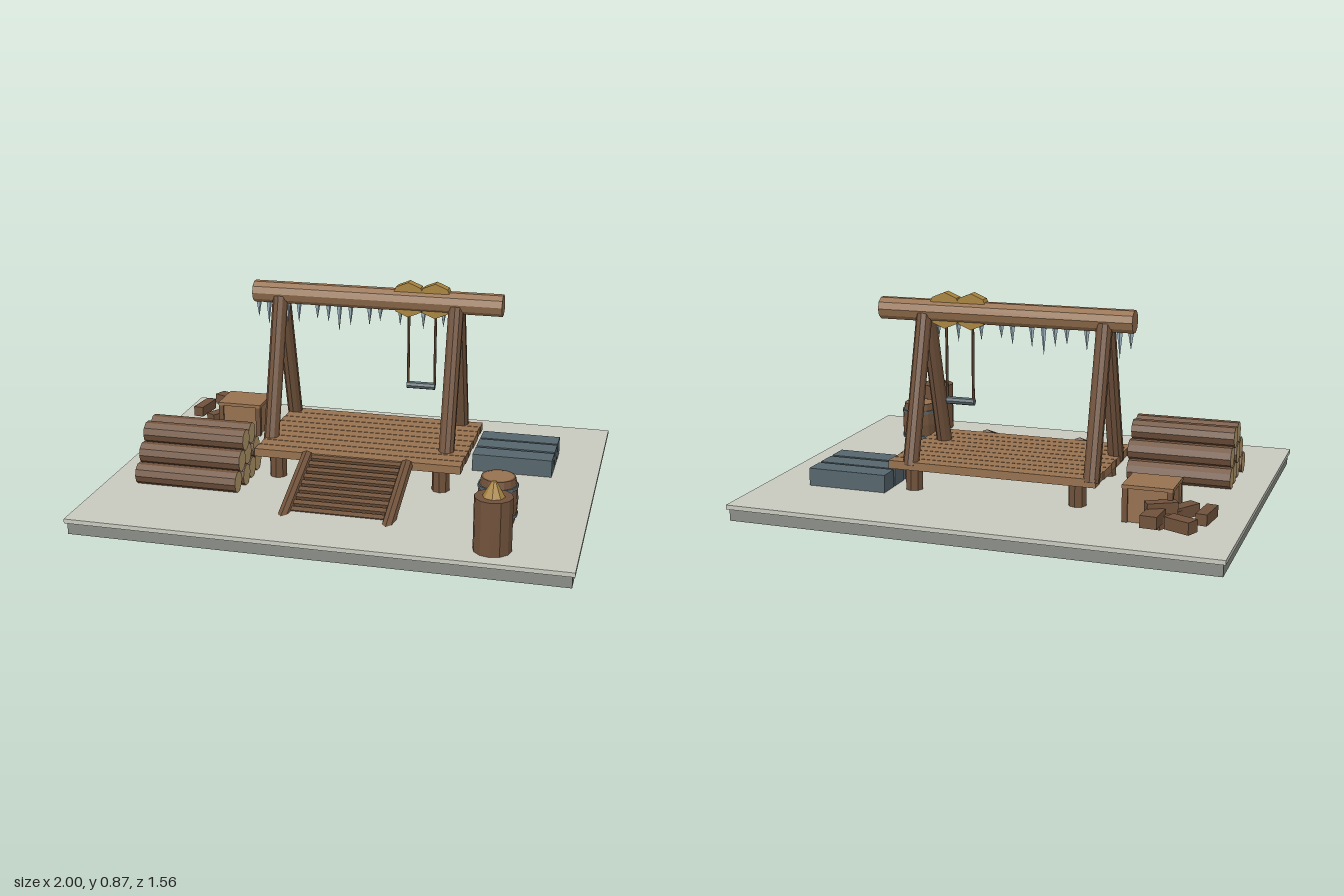
import * as THREE from 'three';

const mat = (name, color) => {
  const m = new THREE.MeshStandardMaterial({ color, flatShading: true });
  m.name = name;
  return m;
};

export function createModel() {
  const root = new THREE.Group();
  root.name = 'swingYard';
  const snow = mat('paleGround', 0xc8cabf), stone = mat('baseStone', 0x8a8d87);
  const bark = mat('darkWood', 0x70523b), wood = mat('lightWood', 0x96714f);
  const grain = mat('endGrain', 0xb89d6e), straw = mat('straw', 0xa8843f);
  const slate = mat('slate', 0x56666c), ice = mat('ice', 0x9fb5c1);

  const add = (name, geo, material, x = 0, y = 0, z = 0, parent = root) => {
    const m = new THREE.Mesh(geo, material);
    m.name = name;
    m.position.set(x, y, z);
    parent.add(m);
    return m;
  };
  const box = (name, w, h, d, material, x, y, z, parent) =>
    add(name, new THREE.BoxGeometry(w, h, d), material, x, y, z, parent);
  // Round timber between two points; caps may have their own material
  const UP = new THREE.Vector3(0, 1, 0);
  const log = (name, a, b, r, material, sides = 10, cap = material, parent = root) => {
    const p = new THREE.Vector3(...a), q = new THREE.Vector3(...b);
    const d = q.clone().sub(p);
    const m = add(name, new THREE.CylinderGeometry(r, r, d.length(), sides), [material, cap, cap], 0, 0, 0, parent);
    m.position.copy(p).add(q).multiplyScalar(0.5);
    m.quaternion.setFromUnitVectors(UP, d.normalize());
    return m;
  };
  const group = (name) => {
    const g = new THREE.Group();
    g.name = name;
    root.add(g);
    return g;
  };

  // Ground slab
  box('baseSlab', 1.98, 0.05, 1.54, stone, 0, 0.026, 0);
  box('groundTop', 2, 0.018, 1.56, snow, 0, 0.059, 0);

  // Plank deck on four posts
  const deck = group('deck');
  for (let i = 0; i < 9; i++)
    box('deckPlank', 0.88 - (i % 3 === 1 ? 0.006 : 0), 0.034, 0.058, wood, 0.03, 0.178, -0.359 + i * 0.0622, deck);
  for (const x of [-0.32, 0.38])
    for (const z of [0.12, -0.33]) log('deckPost', [x, 0.06, z], [x, 0.162, z], 0.037, bark, 8, bark, deck);

  // Two A-frames and the cross beam
  const frame = group('swingFrame');
  for (const x of [-0.387, 0.38])
    for (const s of [-1, 1])
      log('frameLeg', [x, 0.175, -0.18 + s * 0.185], [x, 0.775, -0.18 + s * 0.018], 0.033, bark, 10, bark, frame);
  log('crossBeam', [-0.505, 0.79, -0.18], [0.575, 0.79, -0.18], 0.047, wood, 10, wood, frame);

  // Swing: wraps on the beam, ropes and a bar
  const swing = group('swing');
  for (const x of [0.175, 0.29]) {
    const wrap = add('ropeWrap', new THREE.CylinderGeometry(0.075, 0.075, 0.046, 8), straw, x, 0.795, -0.18, swing);
    wrap.rotation.x = Math.PI / 2;
    log('rope', [x, 0.42, -0.18], [x, 0.75, -0.18], 0.006, bark, 6, bark, swing);
  }
  log('swingBar', [0.17, 0.416, -0.18], [0.292, 0.416, -0.18], 0.016, slate, 8, slate, swing);

  // Icicles below the beam: x and length
  const icicles = group('icicles');
  const rows = [[-0.49, 0.075], [-0.445, 0.11], [-0.36, 0.095], [-0.31, 0.09], [-0.227, 0.07], [-0.178, 0.08],
    [-0.13, 0.12], [-0.08, 0.09], [0.003, 0.085], [0.05, 0.06], [0.137, 0.075], [0.237, 0.085], [0.323, 0.07]];
  for (const [x, len] of rows) {
    const m = add('icicle', new THREE.ConeGeometry(0.013, len, 5), ice, x, 0.75 - len / 2, -0.18, icicles);
    m.rotation.x = Math.PI;
  }

  // Ramp with side rails and treads
  const ramp = group('ramp');
  const top = [0.16, 0.183], foot = [0.59, 0.025];
  for (const x of [-0.18, 0.245])
    log('rampRail', [x, top[1], top[0]], [x, foot[1], foot[0]], 0.026, bark, 8, bark, ramp);
  const slope = Math.atan2(top[1] - foot[1], foot[0] - top[0]);
  for (let i = 0; i < 10; i++) {
    const t = 0.03 + i * 0.087;
    const m = box('rampTread', 0.39, 0.018, 0.024, bark, 0.0325,
      top[1] + (foot[1] - top[1]) * t, top[0] + (foot[0] - top[0]) * t, ramp);
    m.rotation.x = slope;
  }

  // Stacked logs
  const pile = group('logPile');
  for (let r = 0; r < 3; r++)
    for (let i = 0; i < 4 - r; i++) {
      const z = 0.083 + r * 0.0437 + i * 0.0875, y = 0.112 + r * 0.0765;
      const j = ((i + r * 2) % 3) * 0.004;
      log('stackedLog', [-0.86 + j, y, z], [-0.423 + j, y, z], 0.045, bark, 10, grain, pile);
    }

  // Slate blocks
  for (const z of [-0.384, -0.28, -0.173]) box('slateBlock', 0.34, 0.076, 0.092, slate, 0.64, 0.104, z);

  // Barrel with hoops
  const barrel = group('barrel');
  barrel.position.set(0.655, 0, 0.378);
  const profile = [[0, 0.066], [0.068, 0.066], [0.077, 0.11], [0.08, 0.16], [0.077, 0.21], [0.068, 0.255], [0.06, 0.255]];
  add('barrelBody', new THREE.LatheGeometry(profile.map((p) => new THREE.Vector2(...p)), 14), bark, 0, 0, 0, barrel);
  add('barrelLid', new THREE.CylinderGeometry(0.062, 0.062, 0.01, 14), wood, 0, 0.249, 0, barrel);
  for (const y of [0.102, 0.218])
    add('barrelHoop', new THREE.CylinderGeometry(0.08, 0.08, 0.013, 14), slate, 0, y, 0, barrel);

  // Stump with a pointed straw cap
  add('stump', new THREE.CylinderGeometry(0.074, 0.074, 0.216, 12), bark, 0.678, 0.175, 0.652);
  add('strawTip', new THREE.CylinderGeometry(0.009, 0.043, 0.06, 8), straw, 0.678, 0.313, 0.652);

  // Crate with corner battens and lid
  const crate = group('crate');
  crate.position.set(-0.64, 0, -0.397);
  box('crateBody', 0.18, 0.135, 0.155, wood, 0, 0.135, 0, crate);
  for (const x of [-0.088, 0.088])
    for (const z of [-0.074, 0.074]) box('crateBatten', 0.022, 0.138, 0.022, bark, x, 0.137, z, crate);
  box('crateLid', 0.2, 0.014, 0.174, wood, 0, 0.21, 0, crate);

  // Scattered split wood: x, y, z, length, thickness, turn
  const scraps = [[-0.8, 0.128, -0.615, 0.11, 0.058, -0.42], [-0.868, 0.128, -0.475, 0.135, 0.045, 1.45],
    [-0.685, 0.128, -0.58, 0.11, 0.066, 1.5], [-0.7, 0.15, -0.505, 0.12, 0.045, 0.5],
    [-0.76, 0.115, -0.425, 0.15, 0.05, 1.0], [-0.72, 0.105, -0.5, 0.14, 0.05, 1.1]];
  for (const [x, y, z, len, t, turn] of scraps) {
    const m = box('splitWood', len, Math.min(t, 0.048), t, bark, x, y, z);
    m.rotation.y = turn;
  }
  return root;
}
